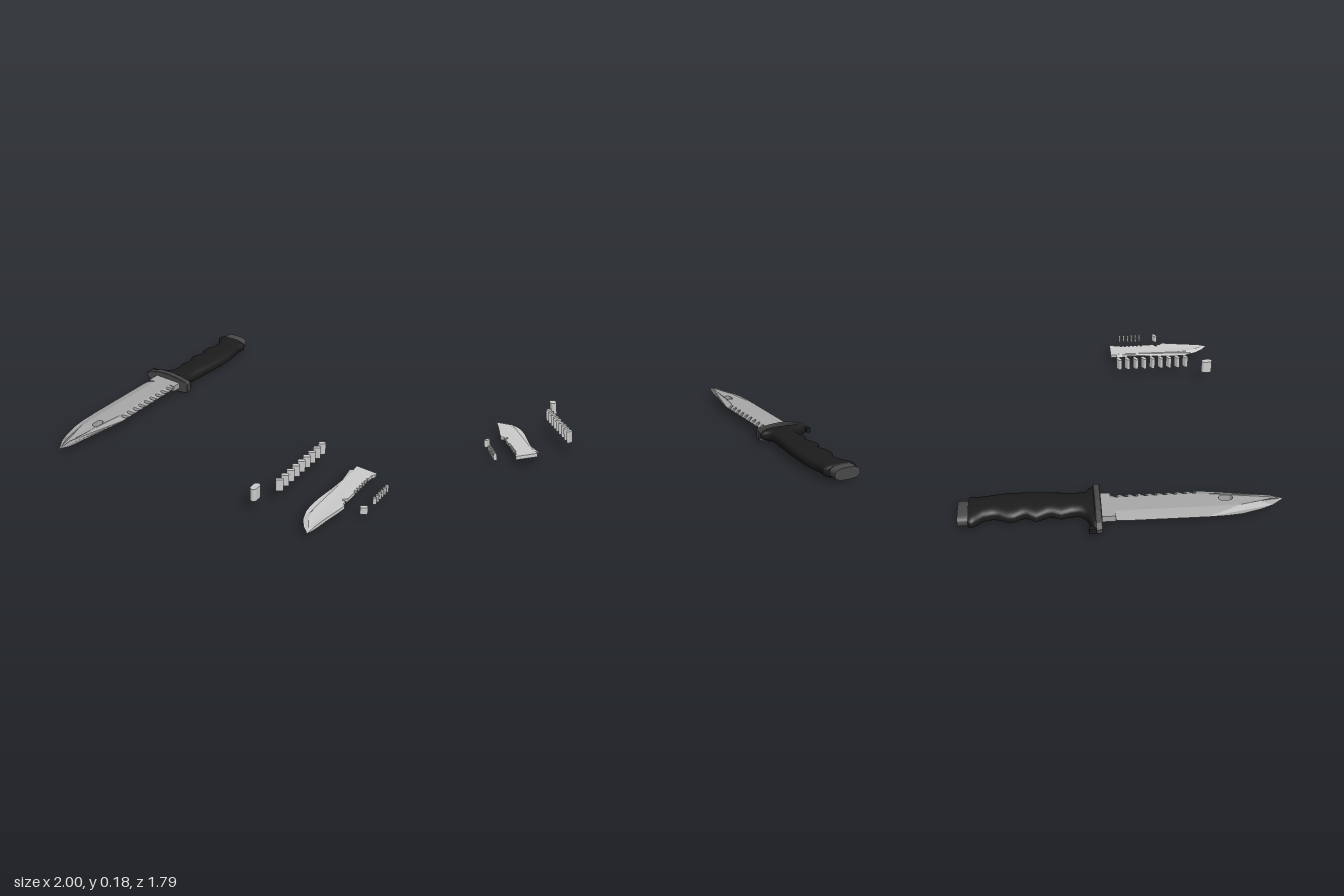
import * as THREE from 'three';

const STEEL = 0xa8a8a8, BLACK = 0x1c1c1c, DARK = 0x484848, GREY = 0xcccccc;
const CY = 0.062; // mid height of the large knife

const clamp = (v) => Math.min(1, Math.max(0, v));
// x of a profile line [[z, x], ...] at a given z
function at(line, z) {
  if (z <= line[0][0]) return line[0][1];
  for (let i = 1; i < line.length; i++) {
    const [z0, x0] = line[i - 1], [z1, x1] = line[i];
    if (z <= z1) return x0 + (x1 - x0) * (z - z0) / (z1 - z0);
  }
  return line[line.length - 1][1];
}
const toXZ = (line) => line.map(([z, x]) => [x, z]);

function mesh(name, geometry, color) {
  const m = new THREE.Mesh(geometry, new THREE.MeshStandardMaterial({ color }));
  m.name = name;
  return m;
}

// Flat plate from an outline of [x, z] points; f(x, z) scales its thickness
function plate(name, outline, cy, half, f, color, hole) {
  const shape = new THREE.Shape(outline.map(([x, z]) => new THREE.Vector2(x, z)));
  if (hole) shape.holes.push(hole);
  const geo = new THREE.ExtrudeGeometry(shape, { depth: 1, bevelEnabled: false, curveSegments: 8 });
  geo.rotateX(Math.PI / 2);
  const p = geo.attributes.position;
  for (let i = 0; i < p.count; i++) {
    p.setY(i, cy + (p.getY(i) + 0.5) * 2 * half * f(p.getX(i), p.getZ(i)));
  }
  geo.computeVertexNormals();
  return mesh(name, geo, color);
}

// Rounded slot outline, long axis along local y
function slot(path, cx, cy, length, width) {
  const r = width / 2, h = length / 2 - r;
  path.absarc(cx, cy + h, r, 0, Math.PI, false);
  path.absarc(cx, cy - h, r, Math.PI, Math.PI * 2, false);
  path.closePath();
  return path;
}

// Upright slot-shaped peg
function peg(name, x, z, length, width, angle, y0, y1) {
  const geo = new THREE.ExtrudeGeometry(slot(new THREE.Shape(), 0, 0, length, width),
    { depth: y1 - y0, bevelEnabled: false, curveSegments: 8 });
  geo.rotateX(Math.PI / 2);
  const m = mesh(name, geo, GREY);
  m.position.set(x, y1, z);
  m.rotation.y = angle;
  return m;
}

// Loft of rounded sections [z, xLeft, xRight, halfHeight]
function loft(name, sections, color) {
  const N = 32, pos = [], idx = [];
  const ring = ([z, x0, x1, h]) => {
    for (let j = 0; j < N; j++) {
      const a = j / N * Math.PI * 2, c = Math.cos(a), s = Math.sin(a);
      const e = (v) => Math.sign(v) * Math.abs(v) ** 0.75;
      pos.push((x0 + x1) / 2 + e(c) * (x1 - x0) / 2, CY + e(s) * h, z);
    }
  };
  sections.forEach((s, i) => {
    ring(s);
    if (!i) return;
    for (let j = 0; j < N; j++) {
      const a = (i - 1) * N + j, b = (i - 1) * N + (j + 1) % N;
      idx.push(a, b, a + N, b, b + N, a + N);
    }
  });
  [sections[0], sections[sections.length - 1]].forEach((s, end) => {
    const base = pos.length / 3;
    ring(s);
    pos.push((s[1] + s[2]) / 2, CY, s[0]);
    for (let j = 0; j < N; j++) {
      const a = base + j, b = base + (j + 1) % N;
      idx.push(base + N, end ? a : b, end ? b : a);
    }
  });
  const geo = new THREE.BufferGeometry();
  geo.setAttribute('position', new THREE.Float32BufferAttribute(pos, 3));
  geo.setIndex(idx);
  geo.computeVertexNormals();
  return mesh(name, geo, color);
}

function largeBlade() {
  const g = new THREE.Group();
  g.name = 'blade';
  const edge = [[-0.05, -0.92], [0, -0.925], [0.45, -0.927], [0.56, -0.924], [0.64, -0.915],
    [0.75, -0.885], [0.82, -0.855], [0.89, -0.805]];
  const bevel = [[-0.05, -0.862], [0.5, -0.862], [0.64, -0.86], [0.75, -0.838], [0.81, -0.823], [0.87, -0.808], [0.89, -0.805]];
  const ridge = [[-0.07, -0.752], [0.43, -0.752], [0.81, -0.793], [0.87, -0.801], [0.89, -0.805]];
  const back = [[-0.07, -0.711], [0.43, -0.711], [0.62, -0.747], [0.81, -0.788], [0.89, -0.805]];
  const tip = (z) => clamp((0.89 - z) / 0.08);
  const ratio = (x, a, b) => (Math.abs(b - a) < 1e-5 ? 0 : clamp((x - a) / (b - a)));

  // flat middle with the oval hole
  const core = [[-0.905, -0.14], [-0.711, -0.14], [-0.711, -0.07], ...toXZ(ridge),
    ...toXZ(bevel).reverse().slice(1), [-0.905, -0.05]];
  g.add(plate('bladeCore', core, CY, 0.019, (x, z) => tip(z), STEEL,
    slot(new THREE.Path(), -0.797, 0.565, 0.078, 0.042)));

  // ground cutting edge
  g.add(plate('cuttingEdge', [...toXZ(edge), ...toXZ(bevel).reverse().slice(1)], CY, 0.019,
    (x, z) => tip(z) * ratio(x, at(edge, z), at(bevel, z)), STEEL));

  // bevelled spine with slanted saw notches
  const saw = [[-0.711, -0.07]];
  for (let i = 0; i < 9; i++) {
    const z = -0.045 + i * 0.0545;
    saw.push([-0.711, z - 0.021], [-0.743, z + 0.001], [-0.747, z + 0.009], [-0.746, z + 0.016],
      [-0.739, z + 0.02], [-0.731, z + 0.019], [-0.711, z + 0.005]);
  }
  g.add(plate('sawSpine', [...saw, ...toXZ(back).slice(1), ...toXZ(ridge).reverse().slice(1)], CY, 0.019,
    (x, z) => tip(z) * (1 - 0.9 * ratio(x, at(ridge, z), at(back, z))), STEEL));
  return g;
}

function smallBlade() {
  const g = new THREE.Group();
  g.name = 'smallBlade';
  const edge = [[0.08, 0.725], [0.1, 0.73], [0.2, 0.745], [0.3, 0.738], [0.42, 0.726], [0.5, 0.725],
    [0.56, 0.732], [0.63, 0.757], [0.68, 0.793], [0.72, 0.84]];
  const bevel = edge.map(([z, x], i) => [z, i === edge.length - 1 ? x : Math.min(x + 0.035, 0.825)]);
  const tip = (z) => clamp((0.72 - z) / 0.06);
  // serrated back with a slanted hook notch
  const back = [[0.75, 0.04], [0.88, 0.04], [0.88, 0.058], [0.868, 0.075]];
  for (let i = 0; i < 6; i++) {
    const z = 0.12 + i * 0.028;
    back.push([0.868, z - 0.009], [0.86, z - 0.006], [0.857, z], [0.86, z + 0.006], [0.868, z + 0.009]);
  }
  back.push([0.868, 0.345], [0.848, 0.362], [0.845, 0.37], [0.852, 0.375], [0.866, 0.37], [0.868, 0.395],
    [0.884, 0.41], [0.876, 0.47], [0.862, 0.55], [0.851, 0.63], [0.846, 0.67]);
  g.add(plate('smallBladeBody', [...back, ...toXZ(bevel).reverse(), [0.75, 0.08]], 0.067, 0.011,
    (x, z) => tip(z), GREY));
  g.add(plate('smallBladeEdge', [...toXZ(edge), ...toXZ(bevel).reverse().slice(1)], 0.067, 0.011,
    (x, z) => {
      const a = at(edge, z), b = at(bevel, z);
      return b - a < 1e-5 ? 0 : tip(z) * clamp((x - a) / (b - a));
    }, GREY));
  return g;
}

export function createModel() {
  const model = new THREE.Group();
  const knife = new THREE.Group();
  knife.name = 'knife';
  model.add(knife);
  knife.add(largeBlade());

  // grip with finger grooves, flaring into the guard
  knife.add(loft('handle', [
    [-0.85, -0.885, -0.705, 0.038], [-0.845, -0.9, -0.69, 0.042], [-0.825, -0.905, -0.685, 0.042], [-0.805, -0.893, -0.692, 0.042],
    [-0.77, -0.86, -0.69, 0.042], [-0.72, -0.848, -0.683, 0.042], [-0.68, -0.855, -0.676, 0.042],
    [-0.64, -0.877, -0.67, 0.042], [-0.6, -0.878, -0.671, 0.042], [-0.56, -0.857, -0.672, 0.042],
    [-0.53, -0.853, -0.674, 0.042], [-0.48, -0.885, -0.676, 0.042], [-0.42, -0.856, -0.682, 0.042],
    [-0.39, -0.854, -0.685, 0.042], [-0.345, -0.873, -0.688, 0.042], [-0.29, -0.857, -0.694, 0.042],
    [-0.24, -0.86, -0.697, 0.042], [-0.205, -0.893, -0.69, 0.042], [-0.19, -0.94, -0.665, 0.042],
    [-0.175, -0.985, -0.65, 0.042], [-0.16, -0.99, -0.645, 0.042]], BLACK));
  knife.add(loft('pommel', [[-0.905, -0.888, -0.717, 0.038], [-0.84, -0.888, -0.717, 0.038]], DARK));

  // oval guard, pointed on one end and blunt on the other
  const top = [[-0.998, 0.012], [-0.965, 0.03], [-0.89, 0.05], [-0.81, 0.057], [-0.73, 0.05], [-0.655, 0.039], [-0.643, 0.028]];
  const outline = [...top, ...top.map(([x, y]) => [x, -y]).reverse()];
  const guardGeo = new THREE.ExtrudeGeometry(new THREE.Shape(outline.map(([x, y]) => new THREE.Vector2(x, y))),
    { depth: 0.03, bevelThickness: 0.004, bevelSize: 0.004, bevelOffset: -0.002, bevelSegments: 1 });
  const guard = mesh('guard', guardGeo, DARK);
  guard.position.set(0, CY, -0.16);
  knife.add(guard);
  const hook = mesh('guardHook', new THREE.BoxGeometry(0.027, 0.03, 0.04), BLACK);
  hook.position.set(-0.984, CY, -0.18);
  knife.add(hook);

  model.add(smallBlade());

  // loose pegs matching the notches and holes
  for (let i = 0; i < 9; i++) model.add(peg('sawPeg', 0.535, 0.08 + i * 0.0555, 0.045, 0.022, -0.96, 0.105, 0.178));
  model.add(peg('holePeg', 0.467, 0.658, 0.068, 0.038, 0, 0.1, 0.18));
  for (let i = 0; i < 6; i++) model.add(peg('smallSawPeg', 0.987, 0.12 + i * 0.028, 0.022, 0.012, -1.3, 0.042, 0.086));
  model.add(peg('hookPeg', 0.98, 0.368, 0.044, 0.022, -0.96, 0.042, 0.086));
  return model;
}
